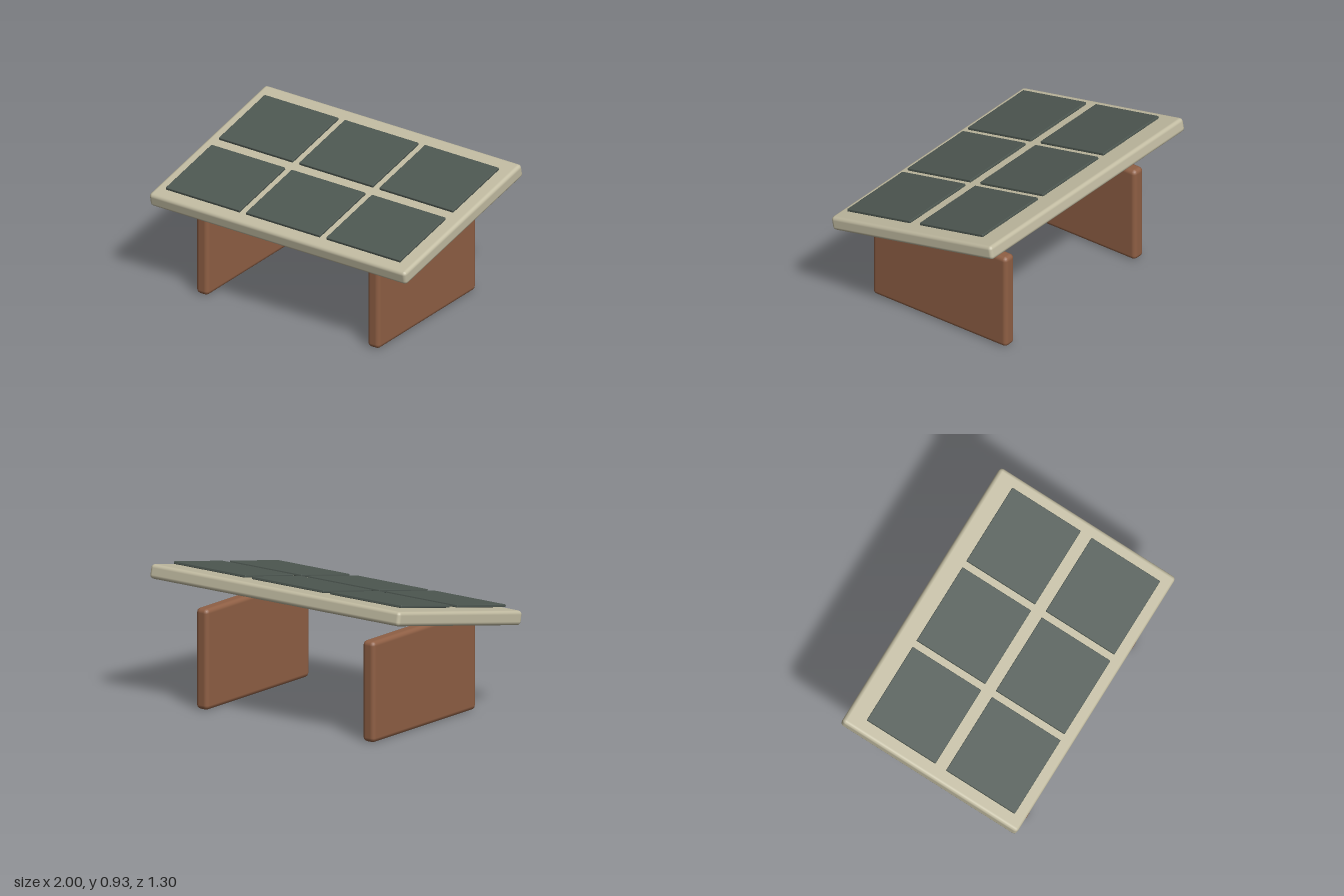
import * as THREE from 'three';
import { RoundedBoxGeometry } from 'three/addons/geometries/RoundedBoxGeometry.js';

function block(name, size, radius, segments, color) {
  const mesh = new THREE.Mesh(
    new RoundedBoxGeometry(...size, segments, radius),
    new THREE.MeshStandardMaterial({ color })
  );
  mesh.name = name;
  return mesh;
}

export function createModel() {
  const model = new THREE.Group();
  model.name = 'slopedPanelTable';

  // Upright supports, one on each side
  for (const side of [1, -1]) {
    const support = block(side > 0 ? 'leftSupport' : 'rightSupport', [0.095, 0.665, 1.08], 0.03, 2, 0x8f5f44);
    support.position.set(side * 0.667, 0.3325, 0);
    model.add(support);
  }

  // Tilted top: everything in this group slopes down to the front
  const top = new THREE.Group();
  top.name = 'tiltedTop';
  top.position.y = 0.753;
  top.rotation.x = 0.2;
  model.add(top);

  top.add(block('slab', [2, 0.095, 1.32], 0.025, 2, 0xc2bca2));

  // Two rows of three thin panels floating just above the slab
  for (const [row, z] of [['front', 0.326], ['back', -0.271]]) {
    for (const column of [-1, 0, 1]) {
      const panel = block(`${row}Panel${column + 2}`, [0.575, 0.018, 0.517], 0.004, 1, 0x4e5852);
      panel.position.set(column * 0.625, 0.067, z);
      top.add(panel);
    }
  }

  return model;
}
